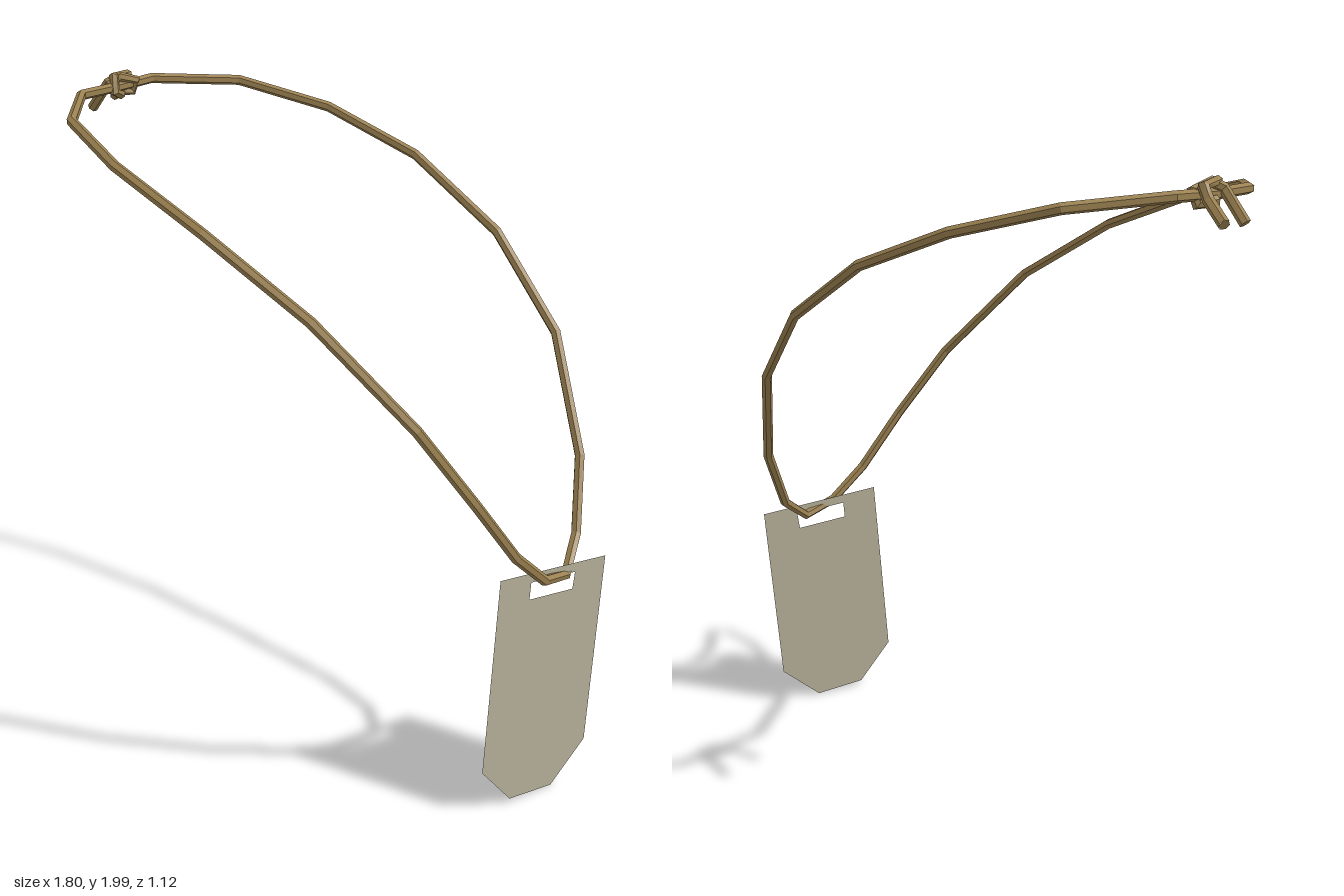
import * as THREE from 'three';

const CORD_RADIUS = 0.016;
const CORD_SIDES = 6;

// Straight-segment path: one tube ring at each bend, turned to the mean direction
class BentPath extends THREE.Curve {
  constructor(points, closed) {
    super();
    this.points = points.map((p) => new THREE.Vector3(...p));
    this.closed = closed;
    this.segments = closed ? points.length : points.length - 1;
  }
  at(i) {
    const n = this.points.length;
    return this.points[this.closed ? (i + n) % n : THREE.MathUtils.clamp(i, 0, n - 1)];
  }
  getPoint(t, target = new THREE.Vector3()) {
    return target.copy(this.at(Math.round(t * this.segments)));
  }
  getPointAt(u, target) {
    return this.getPoint(u, target);
  }
  getTangentAt(u, target = new THREE.Vector3()) {
    const i = Math.round(u * this.segments);
    const p = this.at(i);
    const before = p.clone().sub(this.at(i - 1)).normalize();
    const after = this.at(i + 1).clone().sub(p).normalize();
    return target.copy(before).add(after).normalize();
  }
}

function cord(name, points, closed, material) {
  const path = new BentPath(points, closed);
  const group = new THREE.Group();
  group.name = name;
  const tube = new THREE.Mesh(
    new THREE.TubeGeometry(path, path.segments, CORD_RADIUS, CORD_SIDES, closed), material);
  tube.name = name + 'Strand';
  group.add(tube);
  if (!closed) {
    // Flat cut ends
    for (const [u, sign] of [[0, -1], [1, 1]]) {
      const end = path.getPointAt(u);
      const cap = new THREE.Mesh(new THREE.CircleGeometry(CORD_RADIUS, CORD_SIDES), material);
      cap.name = name + 'End';
      cap.position.copy(end);
      cap.lookAt(end.clone().addScaledVector(path.getTangentAt(u), sign));
      group.add(cap);
    }
  }
  return group;
}

export function createModel() {
  const model = new THREE.Group();
  model.name = 'tagNecklace';

  const cordBrown = new THREE.MeshStandardMaterial({ color: 0x9a8050, flatShading: true });
  cordBrown.name = 'cordBrown';
  const tagGrey = new THREE.MeshStandardMaterial({ color: 0xb4ae98, side: THREE.DoubleSide });
  tagGrey.name = 'tagGrey';

  // Neck loop, from the knot along the front side to the tag and back
  model.add(cord('neckLoop', [
    [-0.785, 1.95, -0.04], [-0.79, 1.95, 0.11], [-0.635, 1.925, 0.335], [-0.36, 1.857, 0.48],
    [-0.02, 1.73, 0.54], [0.305, 1.535, 0.515], [0.57, 1.25, 0.41], [0.7, 1.025, 0.305],
    [0.775, 0.84, 0.195], [0.82, 0.735, 0.09], [0.833, 0.705, -0.03], [0.81, 0.785, -0.142],
    [0.76, 0.985, -0.25], [0.605, 1.305, -0.375], [0.34, 1.55, -0.488], [0.015, 1.74, -0.545],
    [-0.305, 1.86, -0.535], [-0.585, 1.935, -0.43], [-0.768, 1.957, -0.205],
  ], true, cordBrown));

  // Knot: two strands wrapped round each other, each ending in a loose tail
  model.add(cord('knotFront', [
    [-0.87, 1.88, -0.03], [-0.8, 1.965, -0.03], [-0.78, 1.982, -0.06],
    [-0.765, 1.965, -0.12], [-0.78, 1.93, -0.12], [-0.8, 1.935, -0.06],
  ], false, cordBrown));
  model.add(cord('knotBack', [
    [-0.893, 1.895, -0.167], [-0.82, 1.945, -0.13], [-0.8, 1.978, -0.125],
    [-0.785, 1.983, -0.04], [-0.77, 1.94, -0.025], [-0.785, 1.925, -0.07],
  ], false, cordBrown));

  // Tag: outline and slot drawn as (-z, y), then laid onto its slanted plane
  const outline = new THREE.Shape([
    [-0.212, 0.765], [-0.265, 0.152], [-0.165, 0.02], [-0.013, 0.003], [0.11, 0.118], [0.163, 0.727],
  ].map((p) => new THREE.Vector2(...p)));
  outline.holes.push(new THREE.Path([
    [-0.105, 0.725], [0.052, 0.709], [0.044, 0.656], [-0.11, 0.672],
  ].map((p) => new THREE.Vector2(...p))));
  const plate = new THREE.ShapeGeometry(outline);
  const pos = plate.attributes.position;
  for (let i = 0; i < pos.count; i++) {
    const z = -pos.getX(i);
    const y = pos.getY(i);
    pos.setXYZ(i, 0.853 - 0.419 * z - 0.032 * y, y, z);
  }
  plate.computeVertexNormals();
  const tag = new THREE.Mesh(plate, tagGrey);
  tag.name = 'tag';
  model.add(tag);

  return model;
}
